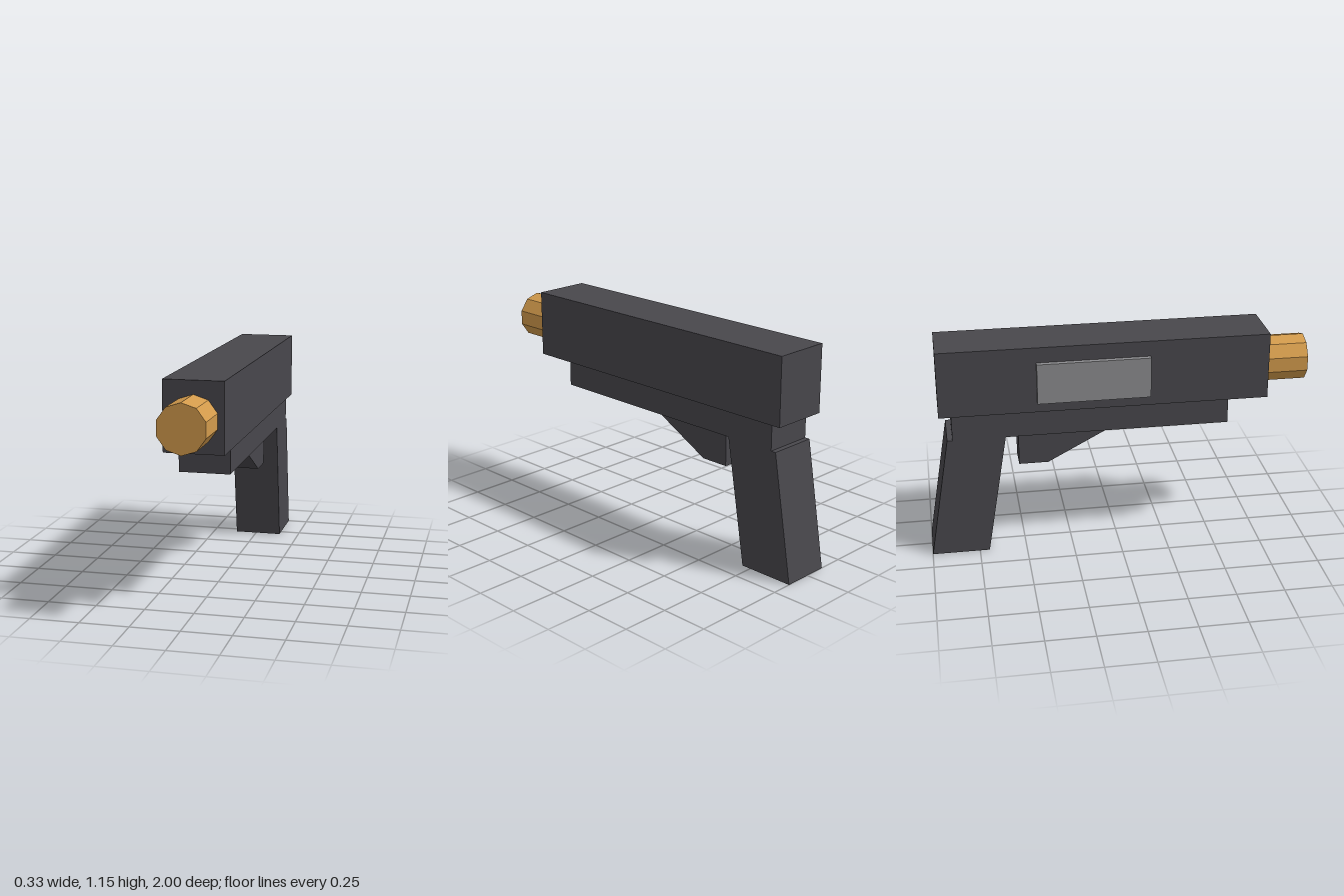
import * as THREE from 'three';

export function createModel() {
  const model = new THREE.Group();
  model.name = 'toyPistol';

  const material = (name, color) => {
    const m = new THREE.MeshStandardMaterial({ color });
    m.name = name;
    return m;
  };
  const charcoal = material('charcoal', 0x48474c);
  const brass = material('brass', 0xd39b4c);
  const grey = material('grey', 0x8c8c8f);

  const CX = 0.012; // centre line of the body

  const add = (name, geometry, mat) => {
    const mesh = new THREE.Mesh(geometry, mat);
    mesh.name = name;
    model.add(mesh);
    return mesh;
  };

  // Box given by its limits on each axis
  const box = (name, mat, [x0, x1], [y0, y1], [z0, z1]) =>
    add(name, new THREE.BoxGeometry(x1 - x0, y1 - y0, z1 - z0), mat)
      .position.set((x0 + x1) / 2, (y0 + y1) / 2, (z0 + z1) / 2);

  // Side outline of [z, y] points, extruded across the body
  const sidePart = (name, mat, points, width) => {
    const shape = new THREE.Shape(points.map(([z, y]) => new THREE.Vector2(z, y)));
    const geometry = new THREE.ExtrudeGeometry(shape, { depth: width, bevelEnabled: false });
    geometry.translate(0, 0, -width / 2).rotateY(-Math.PI / 2);
    add(name, geometry, mat).position.x = CX;
  };

  // Slide and the narrower frame below it
  box('slide', charcoal, [CX - 0.15, CX + 0.15], [0.8, 1.151], [-0.926, 0.782]);
  box('frame', charcoal, [CX - 0.129, CX + 0.129], [0.661, 0.8], [-0.862, 0.578]);

  // Raked grip and wedge-shaped trigger guard
  sidePart('grip', charcoal, [[-0.699, 0], [-0.589, 0.661], [-0.889, 0.661], [-1, 0]], 0.258);
  sidePart('triggerGuard', charcoal, [[-0.008, 0.661], [-0.52, 0.661], [-0.52, 0.47], [-0.367, 0.47]], 0.136);

  // Raised plate on the right side of the slide
  box('sidePlate', grey, [-0.165, CX - 0.15], [0.855, 1.07], [-0.424, 0.159]);

  // Ten-sided muzzle
  const barrel = new THREE.CylinderGeometry(0.1225, 0.1225, 0.25, 10).toNonIndexed();
  barrel.rotateX(Math.PI / 2);
  barrel.computeVertexNormals();
  add('muzzle', barrel, brass).position.set(CX, 0.961, 0.875);

  return model;
}
